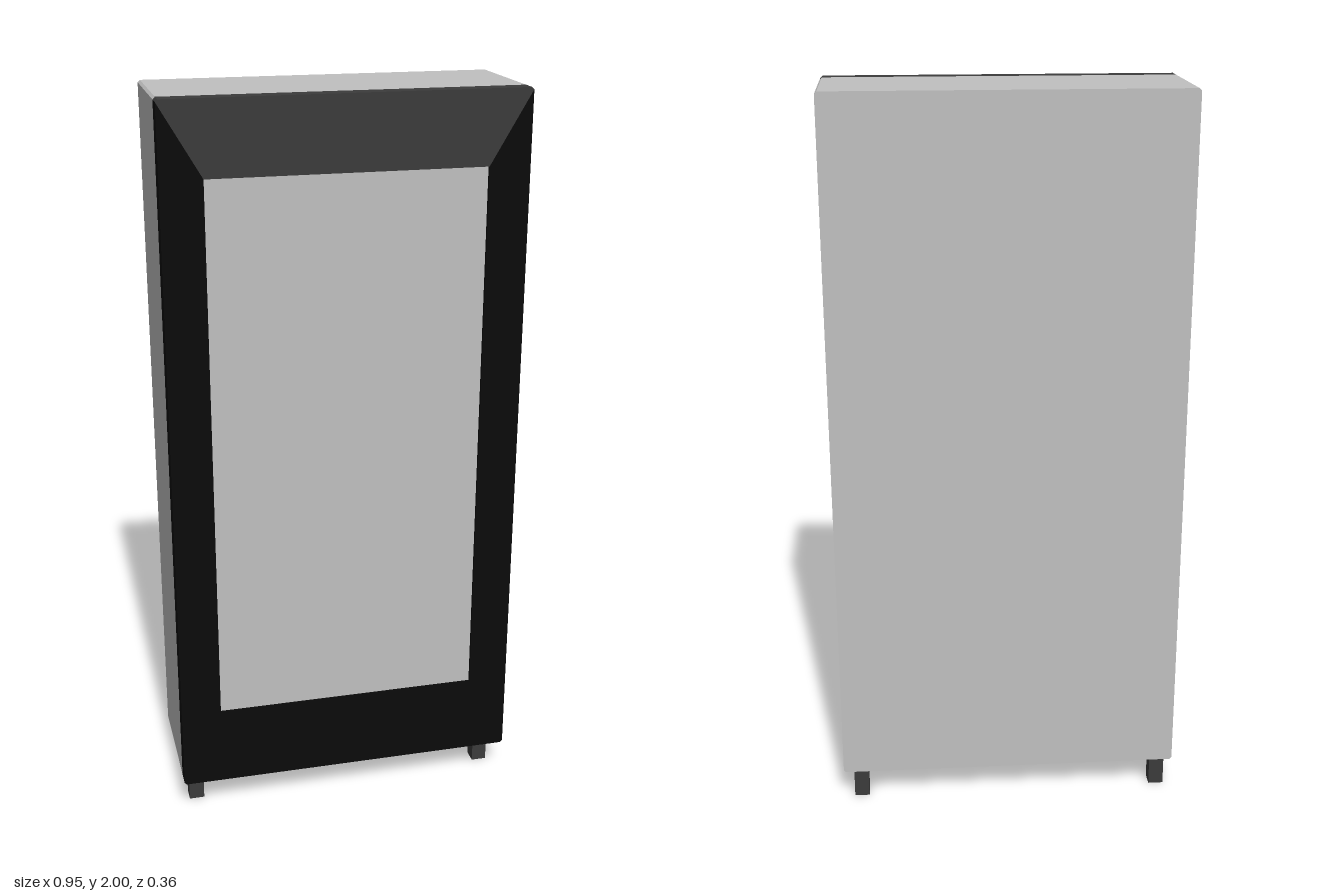
import * as THREE from 'three';

const W = 0.475, TOP = 2, BOTTOM = 0.09, C = 0.006;    // outer size and edge chamfer
const BACK = -0.182, SEAM = 0.137, FRONT = 0.182;      // depth layers
const SW = 0.365, STOP = 1.806, SBOT = 0.312;          // screen opening

export function createModel() {
  const group = new THREE.Group();
  const silver = new THREE.MeshStandardMaterial({ color: 0xc0c0c0 });
  silver.name = 'silver';
  const black = new THREE.MeshStandardMaterial({ color: 0x0a0a0a });
  black.name = 'black';
  const charcoal = new THREE.MeshStandardMaterial({ color: 0x3b3b3b });
  charcoal.name = 'charcoal';

  const add = (name, geometry, material) => {
    const mesh = new THREE.Mesh(geometry, material);
    mesh.name = name;
    group.add(mesh);
    return mesh;
  };
  const slab = (points, z0, z1) => {
    const shape = new THREE.Shape(points.map(([x, y]) => new THREE.Vector2(x, y)));
    return new THREE.ExtrudeGeometry(shape, { depth: z1 - z0, bevelEnabled: false }).translate(0, 0, z0);
  };

  // Cabinet with finely chamfered long edges
  add('cabinet', slab([
    [-W + C, BOTTOM], [W - C, BOTTOM], [W, BOTTOM + C], [W, TOP - C],
    [W - C, TOP], [-W + C, TOP], [-W, TOP - C], [-W, BOTTOM + C],
  ], BACK, SEAM), silver);

  // Front surround: sides and bottom in one U shape, mitred to the header
  add('frontFrame', slab([
    [-W + C, BOTTOM], [W - C, BOTTOM], [W, BOTTOM + C], [W, TOP - C],
    [SW, STOP], [SW, SBOT], [-SW, SBOT], [-SW, STOP],
    [-W, TOP - C], [-W, BOTTOM + C],
  ], SEAM, FRONT), black);
  add('header', slab([
    [-SW, STOP], [SW, STOP], [W, TOP - C], [W - C, TOP], [-W + C, TOP], [-W, TOP - C],
  ], SEAM, FRONT), charcoal);

  // Front panel, set slightly back in the surround
  add('frontPanel', slab([[-SW, SBOT], [SW, SBOT], [SW, STOP], [-SW, STOP]], SEAM, FRONT - 0.008), silver);

  // Four short square legs
  const legGeometry = new THREE.BoxGeometry(0.042, BOTTOM, 0.042);
  for (const x of [-0.434, 0.425]) {
    for (const z of [-0.144, 0.102]) {
      add('leg', legGeometry, charcoal).position.set(x, BOTTOM / 2, z);
    }
  }
  return group;
}
